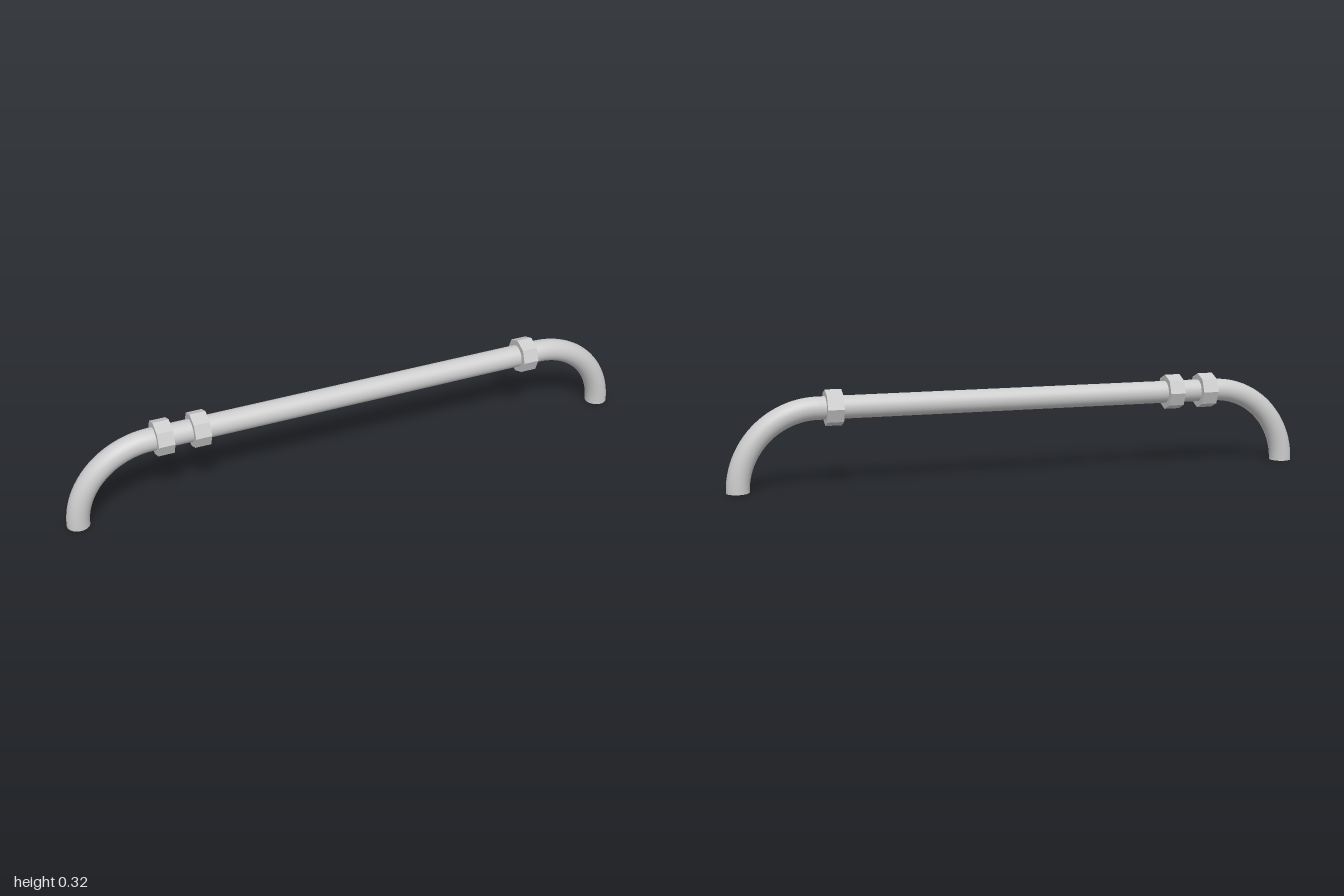
import * as THREE from 'three';

export function createModel() {
  const group = new THREE.Group();
  const material = new THREE.MeshStandardMaterial({ color: 0xcccccc });
  const R = 0.038;          // pipe radius
  const BEND = 0.263;       // bend radius, also the height of the bar
  const BEND_X = 1 - R - BEND;

  const add = (name, geometry, x, y) => {
    const mesh = new THREE.Mesh(geometry, material);
    mesh.name = name;
    mesh.position.set(x, y, 0);
    group.add(mesh);
    return mesh;
  };

  // Straight bar
  add('bar', new THREE.CylinderGeometry(R, R, 2 * BEND_X, 32, 1, true).rotateZ(Math.PI / 2), 0, BEND);

  // Quarter bends down to the ground, each closed by a flat end
  for (const side of [1, -1]) {
    const name = side > 0 ? 'left' : 'right';
    const bend = new THREE.TorusGeometry(BEND, R, 32, 24, Math.PI / 2);
    if (side < 0) bend.rotateY(Math.PI);
    add(name + 'Bend', bend, side * BEND_X, 0);
    add(name + 'Foot', new THREE.CircleGeometry(R, 32).rotateX(Math.PI / 2), side * (1 - R), 0);
  }

  // Eight-sided collars, corner up
  const collar = new THREE.CylinderGeometry(0.06, 0.06, 0.054, 8).toNonIndexed();
  collar.rotateZ(Math.PI / 2);
  collar.computeVertexNormals();
  [-0.663, -0.54, 0.647].forEach((x, i) => add('collar' + (i + 1), collar, x, BEND));

  return group;
}
